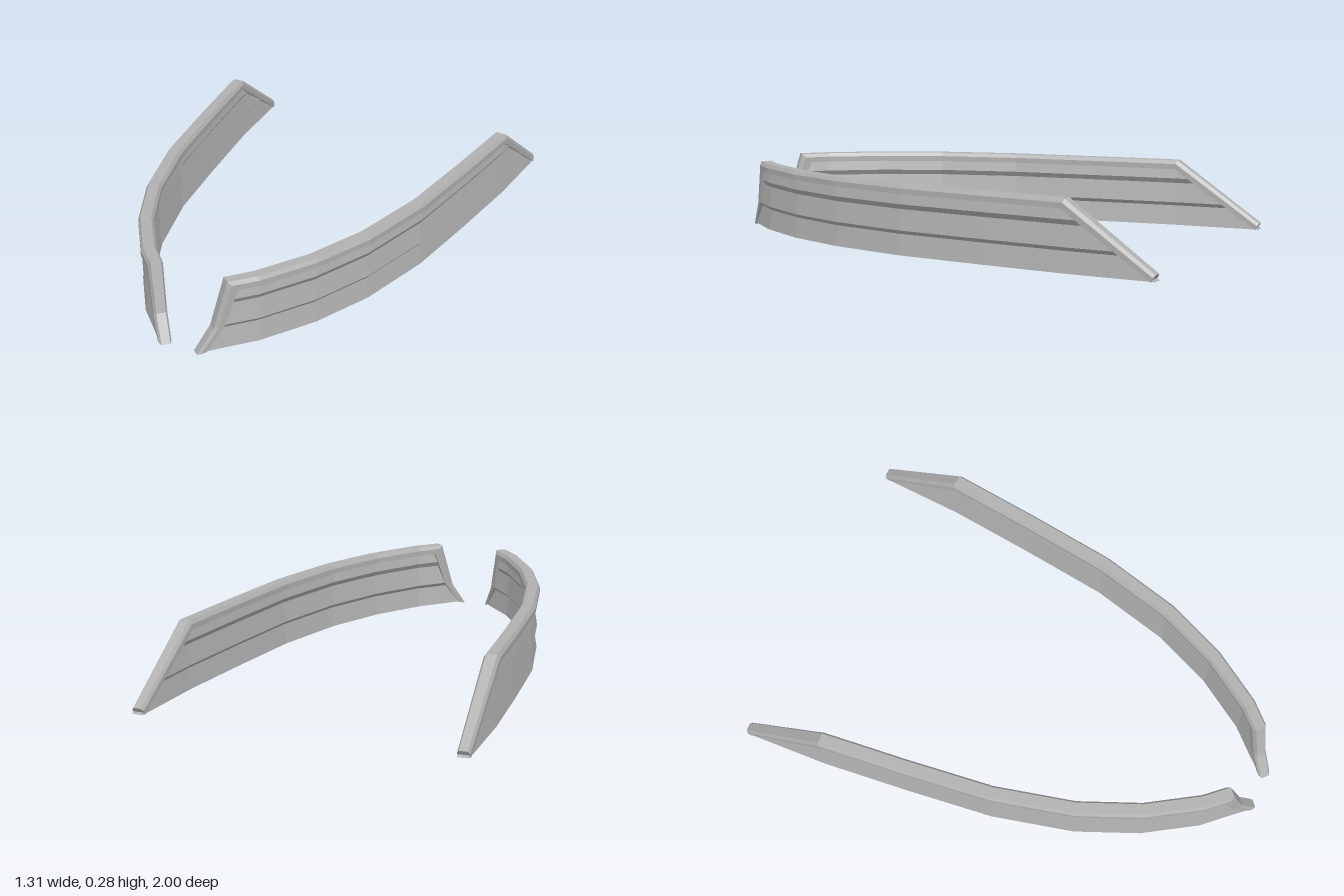
import * as THREE from 'three';

// Plan curve of a wall, stern to bow: [z, x]
const PLAN = [[-1, 0.633], [-0.65, 0.615], [-0.3, 0.577], [0.05, 0.533], [0.37, 0.453],
  [0.61, 0.35], [0.81, 0.222], [0.89, 0.147], [0.985, 0.06]];

// Piecewise linear lookup, extended past both ends
function lookup(table, t) {
  let i = 0;
  while (i < table.length - 2 && t > table[i + 1][0]) i++;
  const [a, b] = [table[i], table[i + 1]];
  return a[1] + (b[1] - a[1]) * (t - a[0]) / (b[0] - a[0]);
}

// Point on the wall at (z, y), pushed sideways across the plan curve
function wallPoint(z, y, offset) {
  const slope = (lookup(PLAN, z + 0.04) - lookup(PLAN, z - 0.04)) / 0.08;
  const len = Math.hypot(1, slope);
  return [lookup(PLAN, z) + offset / len, y, z - offset * slope / len];
}

// Faceted skin over closed rings, capped at both ends; side = -1 mirrors it
function loft(rings, side) {
  const pos = [];
  const tri = (a, b, c) => {
    for (const p of side > 0 ? [a, b, c] : [a, c, b]) pos.push(p[0] * side, p[1], p[2]);
  };
  const quad = (a, b, c, d) => { tri(a, b, c); tri(a, c, d); };
  const n = rings[0].length;
  for (let r = 0; r < rings.length - 1; r++) {
    const a = rings[r], b = rings[r + 1];
    for (let i = 0; i < n; i++) {
      const j = (i + 1) % n;
      quad(a[i], a[j], b[j], b[i]);
    }
  }
  const first = rings[0], last = rings[rings.length - 1];
  for (let i = 0; i < n / 2 - 1; i++) {
    const j = n - 1 - i;
    quad(last[i], last[i + 1], last[j - 1], last[j]);
    quad(first[j], first[j - 1], first[i + 1], first[i]);
  }
  const geo = new THREE.BufferGeometry();
  geo.setAttribute('position', new THREE.Float32BufferAttribute(pos, 3));
  geo.computeVertexNormals();
  return geo;
}

// Mirror a half section (outer side, bottom to top) into a closed one
const closed = half => [...half, ...half.map(([w, v]) => [-w, v]).reverse()];

// Planks: half thickness and height, each plank flaring toward its lower edge
const PLANKS = closed([[0.022, 0.01], [0.009, 0.09], [0.022, 0.105],
  [0.009, 0.185], [0.022, 0.205], [0.012, 0.255]]);
const STERN_EDGE = [[0.02, -0.985], [0.262, -0.648]]; // [y, z]
const BOW_EDGE = [[0.005, 0.972], [0.1, 0.921], [0.262, 0.882]];

function plankGeometry(side) {
  const rings = PLAN.map(([z], k) => PLANKS.map(([w, y]) => {
    const back = lookup(STERN_EDGE, y), front = lookup(BOW_EDGE, y);
    const at = k === 0 ? back : k === PLAN.length - 1 ? front : THREE.MathUtils.clamp(z, back, front);
    return wallPoint(at, y, w);
  }));
  return loft(rings, side);
}

// Frame: sloped stern post, top rail and raked bow post in one sweep.
// Stations: inner z, inner y, outer z, outer y, half width
const FRAME = [
  [-0.983, 0.008, -0.999, 0.034, 0.024],
  [-0.637, 0.245, -0.65, 0.28, 0.03],
  ...PLAN.slice(2, 7).map(([z]) => [z, 0.245, z, 0.28, 0.03]),
  [0.868, 0.245, 0.895, 0.28, 0.029],
  [0.905, 0.105, 0.936, 0.095, 0.026],
  [0.958, 0.008, 0.984, 0, 0.024],
];
const FRAME_SECTION = closed([[1, 0], [1, 0.6], [0.68, 1]]);

function frameGeometry(side) {
  const rings = FRAME.map(([iz, iy, oz, oy, half]) => FRAME_SECTION.map(([w, t]) =>
    wallPoint(iz + (oz - iz) * t, iy + (oy - iy) * t, w * half)));
  return loft(rings, side);
}

export function createModel() {
  const model = new THREE.Group();
  model.name = 'curvedBulwarks';
  const grey = new THREE.MeshStandardMaterial({ color: 0xb0b0b0 });
  grey.name = 'grey';
  for (const [side, label] of [[1, 'left'], [-1, 'right']]) {
    const wall = new THREE.Group();
    wall.name = label + 'Bulwark';
    const planks = new THREE.Mesh(plankGeometry(side), grey);
    planks.name = label + 'Planks';
    const frame = new THREE.Mesh(frameGeometry(side), grey);
    frame.name = label + 'RailAndPosts';
    wall.add(planks, frame);
    model.add(wall);
  }
  return model;
}
